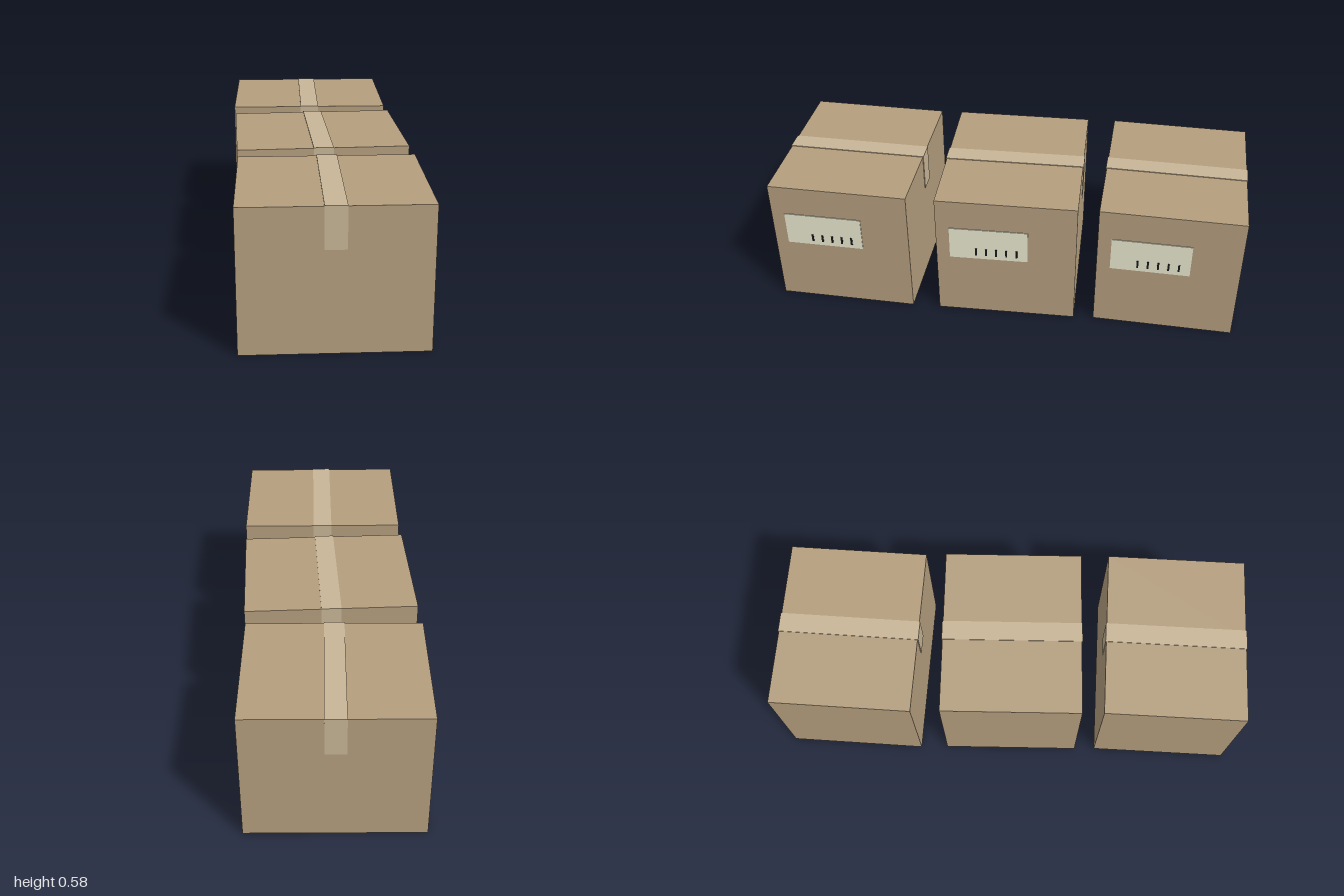
import * as THREE from 'three';

const W = 0.714, D = 0.59, H = 0.567; // carton body
const FLAP = 0.006, TAPE_W = 0.083, TAPE_T = 0.003;

const cardboard = new THREE.MeshStandardMaterial({ color: 0xb49e7e });
const tape = new THREE.MeshStandardMaterial({ color: 0xc8b597 });
const paper = new THREE.MeshStandardMaterial({ color: 0xe8e8d0 });
const ink = new THREE.MeshStandardMaterial({ color: 0x1a1a1a });

function addBox(parent, name, material, size, position) {
  const mesh = new THREE.Mesh(new THREE.BoxGeometry(...size), material);
  mesh.name = name;
  mesh.position.set(...position);
  parent.add(mesh);
}

function createCarton(name) {
  const carton = new THREE.Group();
  carton.name = name;
  addBox(carton, 'body', cardboard, [W, H, D], [0, H / 2, 0]);

  // Two lid flaps meeting at a narrow centre seam
  const seam = 0.008, flapW = (W - seam) / 2;
  for (const side of [-1, 1]) {
    addBox(carton, side > 0 ? 'leftFlap' : 'rightFlap', cardboard,
      [flapW, FLAP, D], [side * (flapW + seam) / 2, H + FLAP / 2, 0]);
  }

  // Packing tape over the seam, folded down the front and back
  const top = H + FLAP + TAPE_T, drop = top - 0.41;
  addBox(carton, 'topTape', tape, [TAPE_W, TAPE_T, D + 2 * TAPE_T], [0, top - TAPE_T / 2, 0]);
  for (const side of [-1, 1]) {
    addBox(carton, side > 0 ? 'frontTape' : 'backTape', tape,
      [TAPE_W, drop - TAPE_T, TAPE_T], [0, 0.41 + (drop - TAPE_T) / 2, side * (D + TAPE_T) / 2]);
  }

  // Paper label with a row of printed tick marks
  const labelT = 0.003, labelZ = 0.073;
  addBox(carton, 'label', paper, [labelT, 0.15, 0.33], [W / 2 + labelT / 2, 0.365, labelZ]);
  for (let i = 0; i < 5; i++) {
    addBox(carton, 'tickMark', ink, [0.003, 0.034, 0.008],
      [W / 2 + labelT + 0.0015, 0.326, 0.125 - i * 0.0425]);
  }
  return carton;
}

export function createModel() {
  const model = new THREE.Group();
  model.name = 'cartonRow';

  // Three cartons in a row, each turned slightly
  const placements = [
    ['frontCarton', 0.694, -0.025],
    ['middleCarton', 0, 0.014],
    ['backCarton', -0.692, -0.035],
  ];
  for (const [name, z, turn] of placements) {
    const carton = createCarton(name);
    carton.position.z = z;
    carton.rotation.y = turn;
    model.add(carton);
  }
  return model;
}
